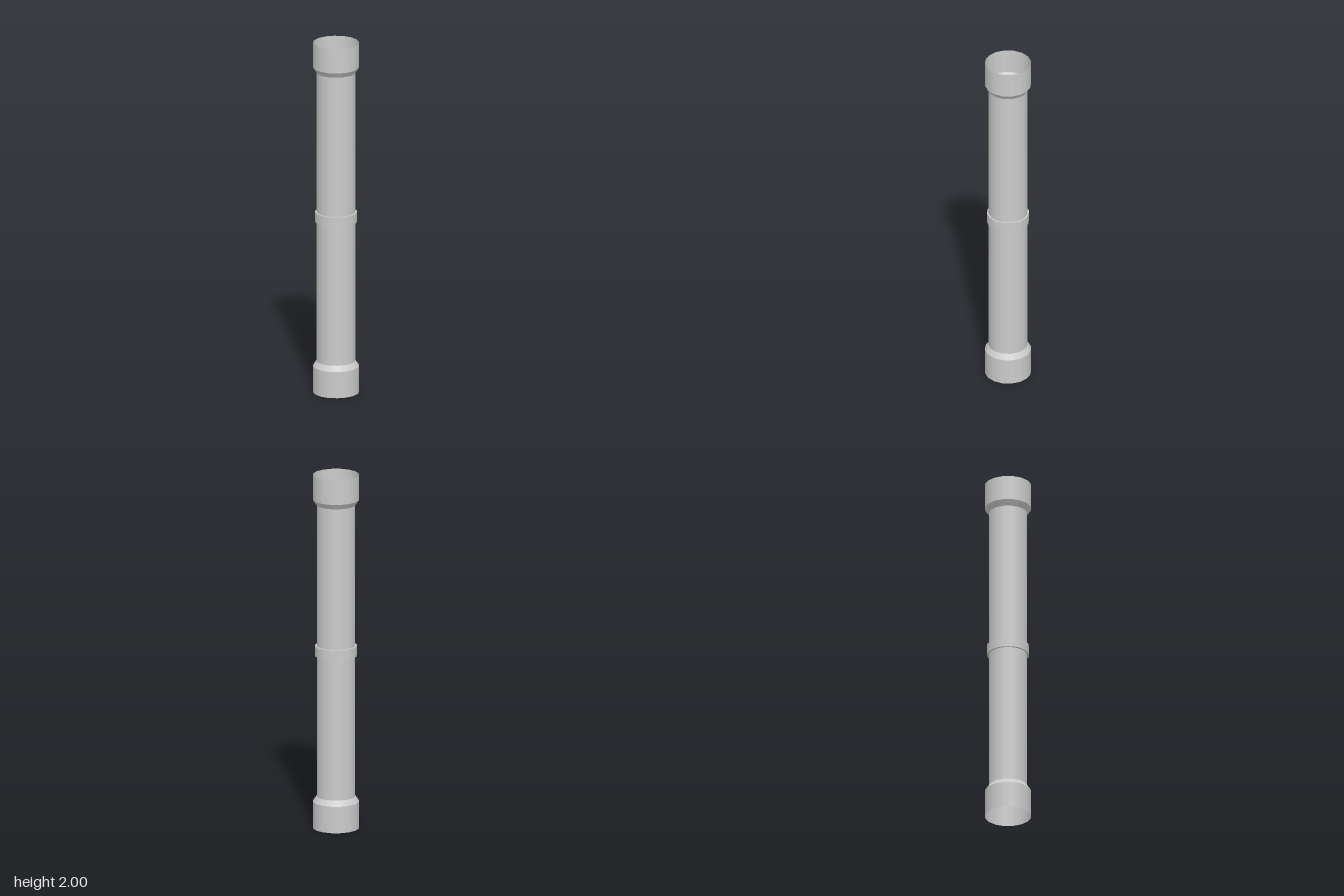
import * as THREE from 'three';

const SIDES = 16;
const PIPE = 0.107, CUFF = 0.1275, BAND = 0.116;

export function createModel() {
  const model = new THREE.Group();
  model.name = 'pipe';
  const material = new THREE.MeshStandardMaterial({ color: 0xcccccc, side: THREE.DoubleSide });

  // Open tube section between two heights, with flats facing the axes
  function section(name, y0, r0, y1, r1, parent = model) {
    const geometry = new THREE.CylinderGeometry(r1, r0, y1 - y0, SIDES, 1, true, Math.PI / SIDES);
    geometry.translate(0, (y0 + y1) / 2, 0);
    const mesh = new THREE.Mesh(geometry, material);
    mesh.name = name;
    parent.add(mesh);
  }

  // Long hollow shaft
  section('shaft', 0.18, PIPE, 1.83, PIPE);

  // Wider sockets with tapered shoulders at both ends
  const bottom = new THREE.Group();
  bottom.name = 'bottomSocket';
  section('bottomCuff', 0, CUFF, 0.15, CUFF, bottom);
  section('bottomShoulder', 0.15, CUFF, 0.18, PIPE, bottom);
  const top = new THREE.Group();
  top.name = 'topSocket';
  section('topShoulder', 1.83, PIPE, 1.86, CUFF, top);
  section('topCuff', 1.86, CUFF, 2, CUFF, top);

  // Raised band around the middle, closed by flat rims
  const band = new THREE.Group();
  band.name = 'middleBand';
  section('bandWall', 0.975, BAND, 1.032, BAND, band);
  for (const [name, y, turn] of [['bandTopRim', 1.032, -1], ['bandBottomRim', 0.975, 1]]) {
    const rim = new THREE.RingGeometry(PIPE, BAND, SIDES, 1, Math.PI / SIDES);
    rim.rotateX(turn * Math.PI / 2);
    rim.translate(0, y, 0);
    const mesh = new THREE.Mesh(rim, material);
    mesh.name = name;
    band.add(mesh);
  }

  model.add(bottom, top, band);
  return model;
}
